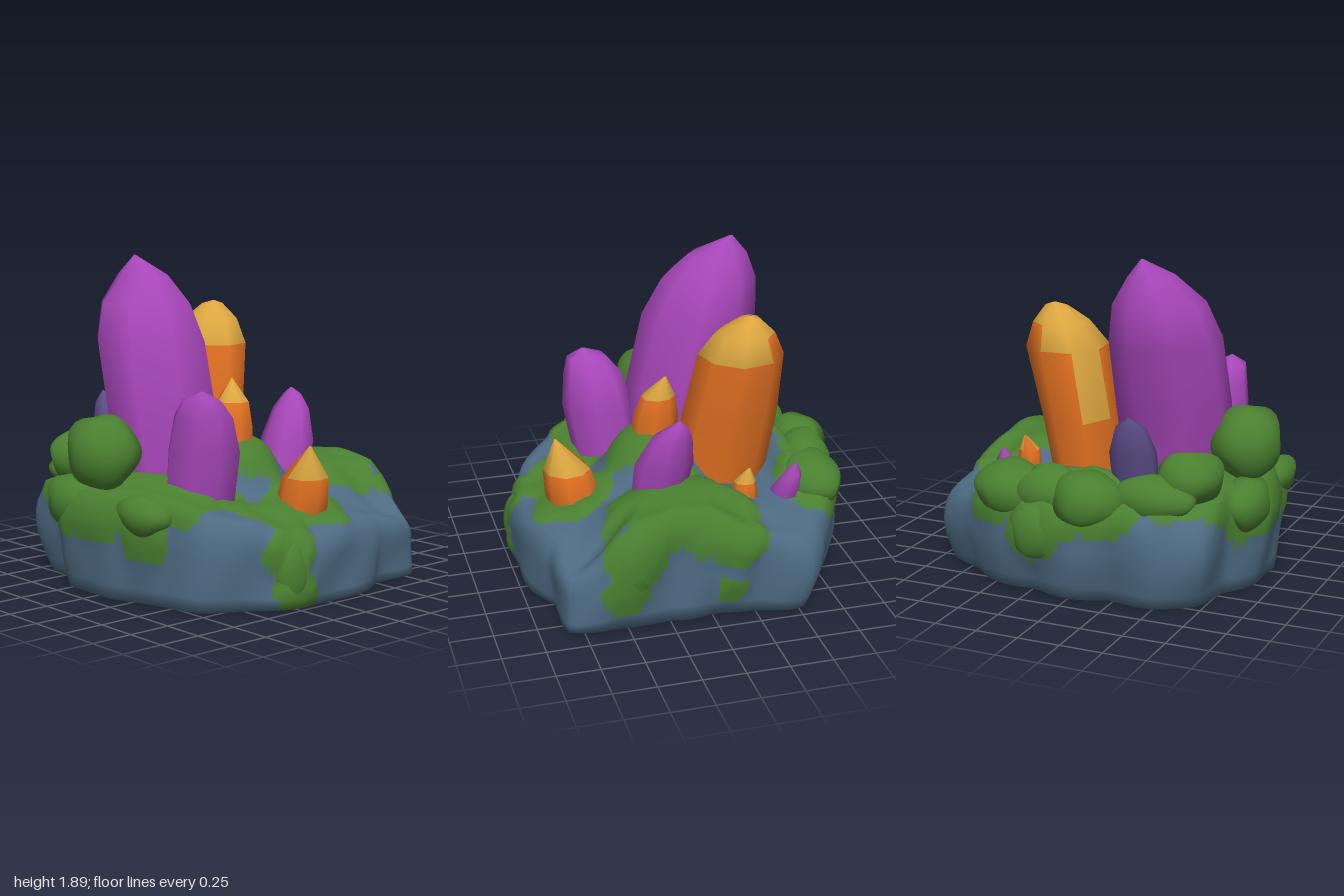
import * as THREE from 'three';

const mat = (name, color) => {
  const m = new THREE.MeshStandardMaterial({ color });
  m.name = name;
  return m;
};

// Skin closed rings of points; pick(centroid, row, column) chooses the material index
function loft(rings, pick, count) {
  const n = rings[0].length, buckets = Array.from({ length: count }, () => []);
  const at = (j, i) => j * n + (i % n);
  const pts = rings.flat();
  for (let j = 0; j < rings.length - 1; j++) for (let i = 0; i < n; i++) {
    const a = at(j, i), b = at(j, i + 1), c = at(j + 1, i), d = at(j + 1, i + 1);
    for (const t of [[a, c, b], [b, c, d]]) {
      const mid = new THREE.Vector3();
      t.forEach(k => mid.addScaledVector(pts[k], 1 / 3));
      buckets[pick(mid, j, i)].push(...t);
    }
  }
  const g = new THREE.BufferGeometry().setFromPoints(pts);
  g.setIndex(buckets.flat());
  let start = 0;
  buckets.forEach((b, k) => { g.addGroup(start, b.length, k); start += b.length; });
  g.computeVertexNormals();
  return g;
}

// Rock outline every 15 degrees, from +x towards +z: radius and shoulder height
const RADIUS = [.89, .92, 1.03, 1.18, 1.0, .98, .97, .98, .97, .98, .92, .9,
  .93, .97, .94, 1.08, 1.04, .93, .95, .94, 1.0, 1.03, 1.12, .96];
const SHOULDER = [.66, .68, .64, .37, .44, .44, .43, .43, .52, .56, .61, .62,
  .6, .6, .62, .55, .55, .6, .55, .6, .58, .52, .49, .55];

// Moss patches: x, y, z, reach
const MOSS = [
  [.6, .7, .15, .33], [.78, .68, .25, .24], [.72, .66, -.1, .24], [.88, .62, .05, .2],
  [.45, .6, .36, .17], [.65, .58, .42, .18], [.45, .7, .05, .22],
  [0, .83, .25, .25], [-.02, .85, 0, .28], [.1, .5, .65, .25], [-.2, .47, .7, .2],
  [-.25, .35, .9, .16], [-.24, .1, .95, .13], [-.62, .65, .42, .24], [-.8, .6, .25, .25],
  [-.8, .6, 0, .3], [-.85, .6, -.3, .28], [-.62, .62, -.5, .26], [-.6, .65, .2, .25],
  [-.2, .65, -.8, .28], [.1, .6, -.85, .27], [.45, .6, -.75, .25], [.2, .4, -.95, .18],
  [-.5, .64, -.7, .17], [.88, .45, .45, .18], [.9, .25, .5, .14], [.9, .2, -.1, .09],
  [.88, .5, -.15, .17], [-.84, .42, .34, .16], [-.32, .62, .5, .15],
];
const mossiness = p => {
  const w = 1 + .12 * Math.sin(p.x * 17 + p.y * 9) * Math.cos(p.z * 15);
  return Math.max(...MOSS.map(([x, y, z, r]) => 1 - Math.hypot(p.x - x, p.y - y, p.z - z) / (r * w)));
};

// Flat-topped mounds on the upper ground: x, z, half width, half depth, rise
const MOUNDS = [[.02, .1, .32, .32, .29], [.62, .12, .36, .38, .14], [-.65, .2, .35, .42, .13],
  [.05, -.75, .6, .2, .17], [-.6, -.4, .3, .3, .12]];
const ground = (x, z) => .55 - .05 * z + Math.max(...MOUNDS.map(([cx, cz, w, d, rise]) =>
  rise * Math.exp(-((((x - cx) / w) ** 2 + ((z - cz) / d) ** 2) ** 2))));

function around(table, a) {
  const u = a / (Math.PI * 2) * table.length, i = Math.floor(u), n = table.length;
  const t = THREE.MathUtils.smoothstep(u - i, 0, 1) * .5 + (u - i) * .5;
  return THREE.MathUtils.lerp(table[i % n], table[(i + 1) % n], t);
}

function rockRings() {
  const N = 192, rings = [];
  const ring = f => Array.from({ length: N }, (_, i) => f(i / N * Math.PI * 2));
  // sides: height share, blend from foot to full width, taper; the first two rows close the underside
  const side = [[0, 0, 0], [0, 0, .75], [0, 0, 1], [.14, .35, 1], [.28, .65, 1], [.42, .9, 1], [.55, 1, 1],
    [.68, 1, 1], [.8, 1, .99], [.9, 1, .97], [.97, 1, .94], [1, 1, .9]];
  for (const [s, k, taper] of side) rings.push(ring(a => {
    const foot = .96 + .04 * Math.sin(a);
    const r = around(RADIUS, a) * THREE.MathUtils.lerp(foot, 1, k) * taper * (1 + .012 * Math.sin(a * 11 + s * 4));
    return new THREE.Vector3(Math.cos(a) * r, .02 + (around(SHOULDER, a) - .02) * s, Math.sin(a) * r);
  }));
  // top, from the shoulder to the middle
  for (let k = 1; k <= 24; k++) rings.push(ring(a => {
    const f = 1 - k / 24, r = around(RADIUS, a) * .9 * f;
    const x = Math.cos(a) * r, z = Math.sin(a) * r;
    const y = THREE.MathUtils.lerp(around(SHOULDER, a), ground(x, z), THREE.MathUtils.smoothstep(1 - f, 0, .3));
    return new THREE.Vector3(x, y, z);
  }));
  // the moss stands a little proud of the stone
  rings.forEach((row, j) => row.forEach(p => {
    const m = THREE.MathUtils.smoothstep(mossiness(p), -.05, .25);
    if (j > 2 && j < 13) { p.x *= 1 + .025 * m; p.z *= 1 + .025 * m; }
    if (j > 9) p.y += .025 * m;
  }));
  return rings;
}

// Crystal from sections [x, y, z, rx, rz] and a tip; gold(row, column) marks faces in the second colour
function crystal(name, mats, sections, tip, gold = () => false) {
  const N = 8;
  const rings = [...sections, [...tip, .004, .004]].map(([x, y, z, rx, rz]) =>
    Array.from({ length: N }, (_, i) => {
      const a = (i + .3) / N * Math.PI * 2, k = 1 + .04 * Math.sin(i * 2.3 + sections[0][0] * 20);
      return new THREE.Vector3(x + Math.cos(a) * rx * k, y, z + Math.sin(a) * rz * k);
    }));
  const mesh = new THREE.Mesh(loft(rings, (c, j, i) => (gold(j, i) ? 1 : 0), mats.length), mats);
  mesh.name = name;
  return mesh;
}

// Rounded clump of moss
function clump([x, y, z, rx, ry, rz], material, i) {
  const g = new THREE.IcosahedronGeometry(1, 5), p = g.attributes.position;
  const n = g.attributes.normal;
  const bump = v => 1 + .09 * Math.sin(v.x * 3.5 + i) * Math.cos(v.z * 4 + i * 2) + .06 * Math.sin(v.y * 4 + v.x * 2 + i);
  for (let k = 0; k < p.count; k++) {
    const v = new THREE.Vector3().fromBufferAttribute(p, k);
    const s = bump(v);
    p.setXYZ(k, v.x * rx * s, v.y * ry * s, v.z * rz * s);
    v.set(v.x / rx, v.y / ry, v.z / rz).normalize();
    n.setXYZ(k, v.x, v.y, v.z);
  }
  const mesh = new THREE.Mesh(g, material);
  mesh.name = 'mossClump';
  mesh.position.set(x, y, z);
  return mesh;
}

export function createModel() {
  const rock = mat('slate rock', 0x4e6b83), moss = mat('green moss', 0x4a8030);
  const purple = mat('purple crystal', 0xa646b8), indigo = mat('indigo crystal', 0x5c4c88);
  const orange = mat('orange crystal', 0xe07022), gold = mat('golden tip', 0xdca640);
  const model = new THREE.Group();
  model.name = 'crystalRock';

  // Boulder with mossy ground
  const boulder = new THREE.Mesh(loft(rockRings(), (c, j) => (j > 1 && mossiness(c) > 0 ? 1 : 0), 2), [rock, moss]);
  boulder.name = 'boulder';
  model.add(boulder);

  // Moss clumps: centre and radii
  [
    [-.77, .82, -.09, .2, .22, .22], [-.6, .72, -.56, .19, .16, .18], [-.1, .6, -.82, .2, .17, .17],
    [-.45, .62, -.7, .24, .13, .14], [.4, .58, -.74, .23, .16, .18], [.15, .6, -.78, .2, .16, .15],
    [-.84, .52, -.28, .13, .15, .2], [-.8, .52, .3, .12, .12, .2], [-.24, .21, .89, .11, .2, .1],
    [.86, .38, .47, .08, .16, .1], [.2, .4, -.86, .16, .18, .12],
  ].forEach((c, i) => model.add(clump(c, moss, i)));

  // Purple crystals
  model.add(
    crystal('largePurpleCrystal', [purple], [[-.3, .5, -.05, .29, .27], [-.32, 1, -.12, .345, .32],
      [-.315, 1.42, -.24, .325, .345], [-.3, 1.64, -.3, .265, .285], [-.275, 1.8, -.35, .125, .18]], [-.26, 1.91, -.44]),
    crystal('frontPurpleCrystal', [purple], [[-.4, .45, .3, .2, .2], [-.41, .85, .36, .205, .215],
      [-.43, 1.05, .38, .16, .18], [-.47, 1.15, .41, .1, .12]], [-.48, 1.2, .43]),
    crystal('leaningPurpleCrystal', [purple], [[.36, .55, .2, .14, .15], [.42, .8, .17, .155, .17],
      [.48, .98, .14, .1, .12], [.52, 1.06, .11, .05, .06]], [.52, 1.1, .1]),
    crystal('smallPurpleCrystal', [purple], [[.48, .45, -.53, .07, .07], [.51, .6, -.55, .085, .085],
      [.54, .7, -.58, .05, .05]], [.55, .77, -.59]),
    crystal('backIndigoCrystal', [indigo], [[-.28, .6, -.56, .14, .11], [-.285, .85, -.63, .14, .11],
      [-.29, 1, -.67, .09, .08]], [-.3, 1.07, -.71]));

  // Orange crystals with golden tips; gold stops short on some rear faces
  const two = [orange, gold];
  const front = (j, i) => j >= 2 && i !== 4 && i !== 5;
  model.add(
    crystal('largeOrangeCrystal', two, [[.12, .5, -.26, .21, .27], [.17, .95, -.31, .22, .285],
      [.245, 1.36, -.35, .24, .25], [.28, 1.5, -.36, .16, .175], [.3, 1.59, -.38, .07, .06]], [.31, 1.61, -.38],
    (j, i) => j >= (i === 6 ? 3 : 2) || (i === 4 && j === 1)),
    crystal('middleOrangeCrystal', two, [[0, .7, .13, .13, .13], [.01, .92, .11, .135, .135],
      [.04, 1.06, .1, .095, .1]], [.07, 1.19, .06], front),
    crystal('frontOrangeCrystal', two, [[.1, .42, .62, .15, .15], [.1, .53, .64, .145, .16],
      [.1, .68, .67, .13, .14]], [.07, .87, .73], front),
    crystal('smallOrangeCrystal', two, [[.52, .45, -.28, .07, .075], [.53, .6, -.29, .07, .075],
      [.53, .68, -.29, .06, .065]], [.55, .77, -.31], front));
  return model;
}
